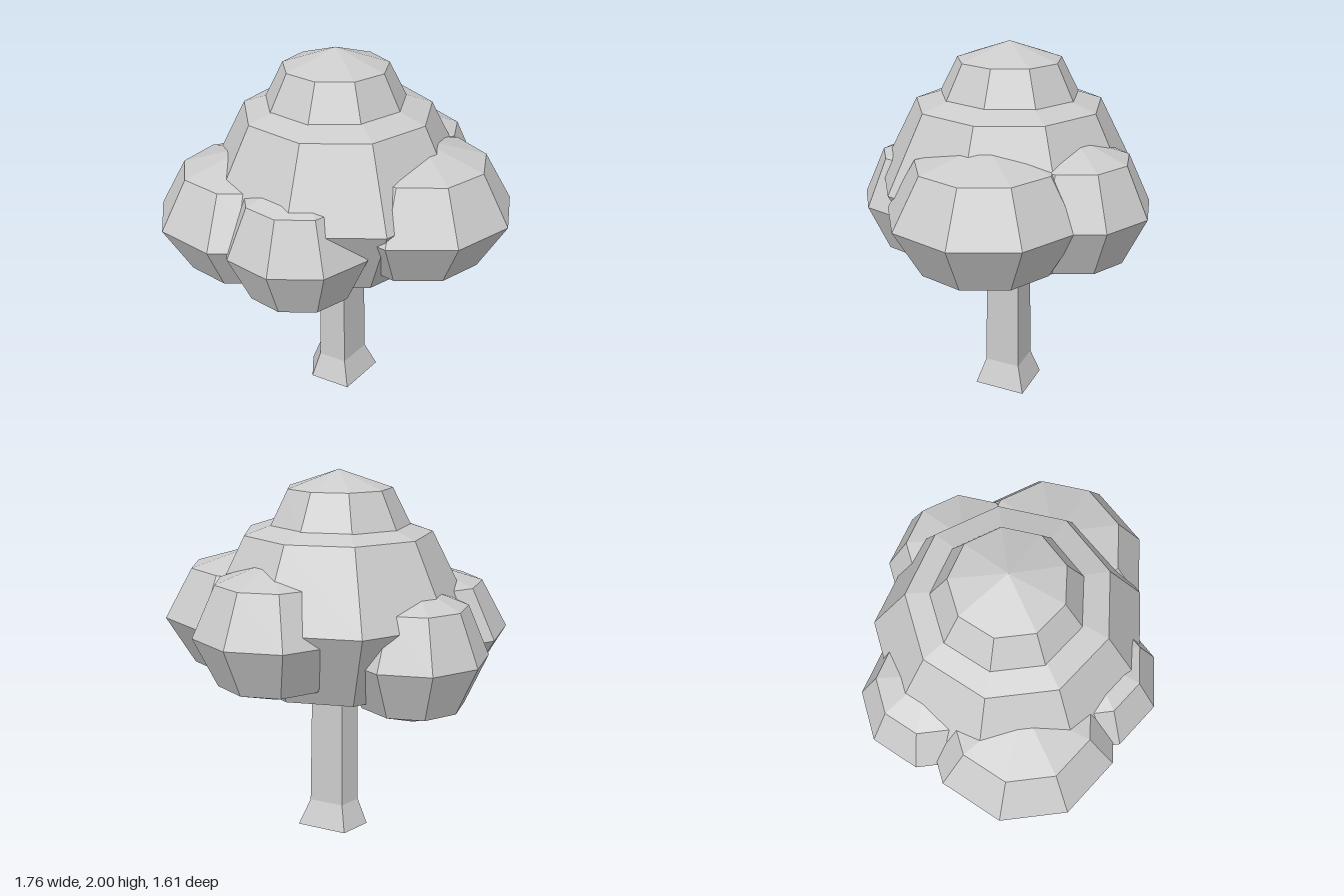
import * as THREE from 'three';

const material = new THREE.MeshStandardMaterial({ color: 0xcccccc, flatShading: true });

// Joins scaled copies of one outline, stacked upward, into a closed faceted solid
function stackOutline(outline, levels) {
  const positions = [];
  const n = outline.length;
  const corner = ([y, s], i) => [outline[i % n][0] * s, y, outline[i % n][1] * s];
  for (let k = 0; k < levels.length - 1; k++) {
    const low = levels[k], high = levels[k + 1];
    for (let i = 0; i < n; i++) {
      const a = corner(low, i), b = corner(low, i + 1);
      const c = corner(high, i + 1), d = corner(high, i);
      if (high[1] > 0) positions.push(...a, ...d, ...c);
      if (low[1] > 0) positions.push(...a, ...c, ...b);
    }
  }
  const geometry = new THREE.BufferGeometry();
  geometry.setAttribute('position', new THREE.Float32BufferAttribute(positions, 3));
  geometry.computeVertexNormals();
  return geometry;
}

export function createModel() {
  const tree = new THREE.Group();
  tree.name = 'tree';

  // Five-sided trunk with a flared foot and a pointed underside
  const outline = [[0.1, 0.1], [-0.06, 0.105], [-0.123, 0], [-0.07, -0.11], [0.12, -0.1]];
  const levels = [[0, 0], [0.05, 1.45], [0.19, 1], [0.8, 0.93], [0.9, 0]];
  const trunk = new THREE.Mesh(stackOutline(outline, levels), material);
  trunk.name = 'trunk';
  trunk.position.x = -0.065;
  tree.add(trunk);

  // Foliage: squashed nine-sided spheres [name, x, y, z, radius, half height]
  const foliage = new THREE.Group();
  foliage.name = 'foliage';
  const ball = new THREE.SphereGeometry(1, 9, 4, Math.PI);
  const clumps = [
    ['mainCrown', -0.06, 1.295, 0, 0.695, 0.555],
    ['topCrown', -0.07, 1.69, 0, 0.385, 0.31],
    ['leftClump', 0.38, 1.235, -0.04, 0.5, 0.36],
    ['backClump', 0.125, 1.235, -0.4, 0.41, 0.36],
    ['frontRightClump', -0.415, 1.145, 0.3, 0.49, 0.36],
    ['backRightClump', -0.523, 1.12, -0.16, 0.38, 0.36],
    ['frontClump', -0.03, 1.13, 0.425, 0.39, 0.36],
  ];
  for (const [name, x, y, z, radius, halfHeight] of clumps) {
    const clump = new THREE.Mesh(ball, material);
    clump.name = name;
    clump.position.set(x, y, z);
    clump.scale.set(radius, halfHeight, radius);
    foliage.add(clump);
  }
  tree.add(foliage);
  return tree;
}
